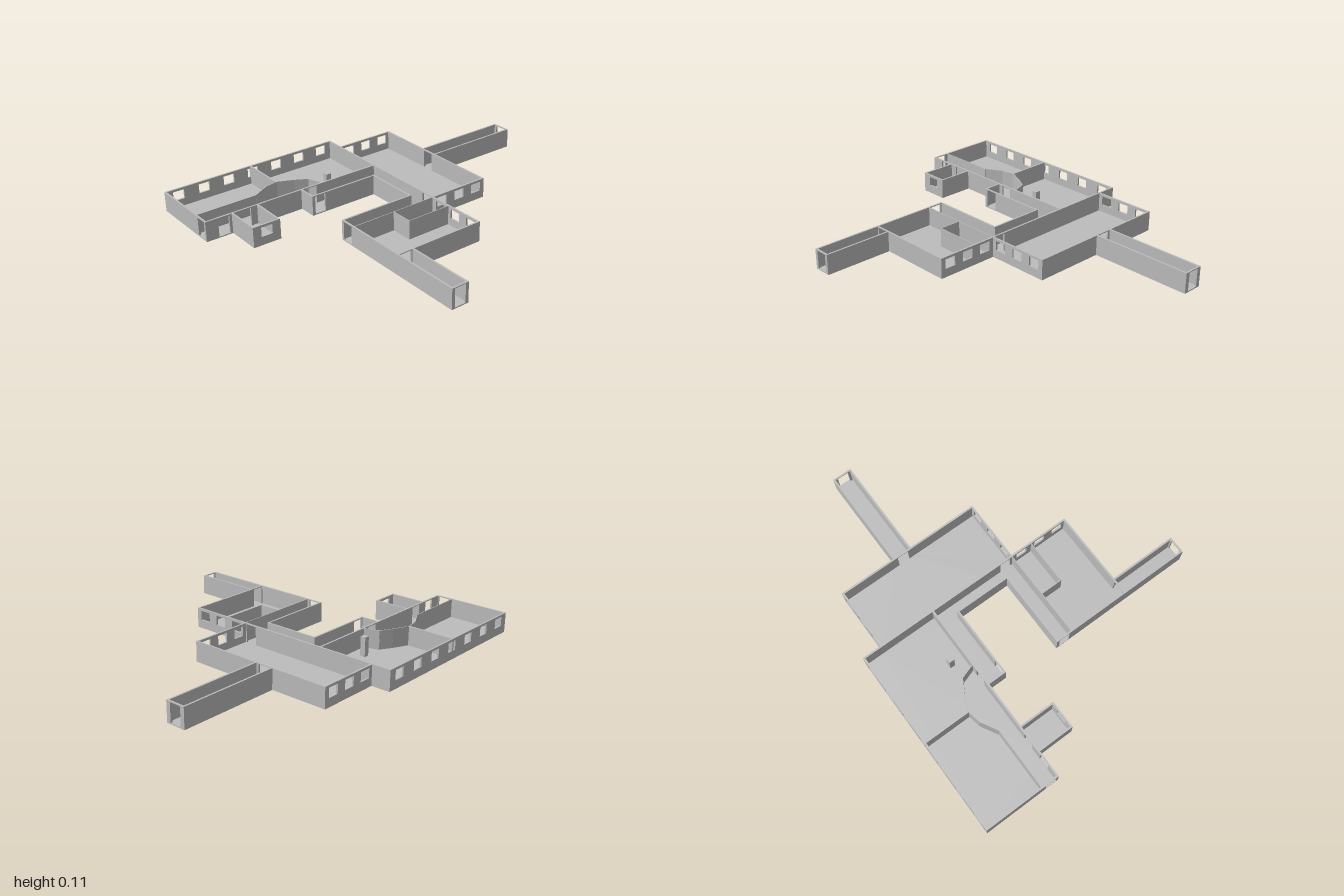
import * as THREE from 'three';

const H = 0.113, FLOOR = 0.006, T = 0.01, THIN = 0.004;

export function createModel() {
  const model = new THREE.Group();
  const grey = new THREE.MeshStandardMaterial({ color: 0xbcbcbc });
  grey.name = 'plasterGrey';

  const add = (name, geo) => {
    const mesh = new THREE.Mesh(geo, grey);
    mesh.name = name;
    model.add(mesh);
    return mesh;
  };

  // openings: [centre along wall, bottom, top]
  const door = c => [c, FLOOR, H - 0.005];
  const pane = c => [c, 0.047, 0.1];
  const panes = (from, to, n) =>
    Array.from({ length: n }, (_, i) => pane(from + (to - from) * (i + 0.5) / n));

  // upright panel pierced by openings
  const panel = (a, b, openings, t) => {
    const shape = new THREE.Shape([
      new THREE.Vector2(a, 0), new THREE.Vector2(b, 0),
      new THREE.Vector2(b, H), new THREE.Vector2(a, H)]);
    for (const [c, y0, y1] of openings) {
      const w = 0.0325;
      shape.holes.push(new THREE.Path([
        new THREE.Vector2(c - w, y0), new THREE.Vector2(c - w, y1),
        new THREE.Vector2(c + w, y1), new THREE.Vector2(c + w, y0)]));
    }
    return new THREE.ExtrudeGeometry(shape, { depth: t, bevelEnabled: false });
  };
  // wall running along x, centred on z
  const wallX = (name, z, x0, x1, openings = [], t = T) =>
    add(name, panel(x0, x1, openings, t).translate(0, 0, z - t / 2));
  // wall running along z, centred on x
  const wallZ = (name, x, z0, z1, openings = [], t = T) =>
    add(name, panel(z0, z1, openings, t).rotateY(-Math.PI / 2).translate(x + t / 2, 0, 0));

  // floor slab
  const outline = [
    [-0.415, -1], [-0.303, -1], [-0.303, -0.425], [0.102, -0.425], [0.102, -0.07],
    [0.455, -0.07], [0.455, 0.355], [0.842, 0.355], [0.842, 0.455], [0.003, 0.455],
    [0.003, 0.022], [-0.303, 0.022], [-0.303, 0.425], [-0.407, 0.425], [-0.407, 0.688],
    [-0.203, 0.688], [-0.203, 0.848], [-0.407, 0.848], [-0.407, 1], [-0.845, 1],
    [-0.845, -0.07], [-0.738, -0.07], [-0.738, -0.425], [-0.415, -0.425],
  ].map(([x, z]) => new THREE.Vector2(x, z));
  add('floor', new THREE.ExtrudeGeometry(new THREE.Shape(outline), { depth: FLOOR, bevelEnabled: false })
    .rotateX(Math.PI / 2).translate(0, FLOOR, 0));

  // north corridor
  wallZ('northCorridorWestWall', -0.41, -1, -0.425);
  wallZ('northCorridorEastWall', -0.308, -1, -0.425);
  wallX('northCorridorEndWall', -0.995, -0.415, -0.303, [door(-0.359)]);

  // main hall
  wallX('hallNorthWall', -0.42, -0.738, 0.102, [door(-0.359)]);
  wallZ('hallWestWall', -0.733, -0.425, -0.065, panes(-0.425, -0.065, 3));
  wallZ('hallEastWall', 0.097, -0.425, -0.065, panes(-0.425, -0.065, 3));
  wallX('hallSouthWall', -0.065, -0.845, 0.102, [door(0.053)]);

  // west room
  wallZ('westRoomWestWall', -0.84, -0.07, 1, panes(-0.07, 1, 7));
  wallX('westRoomSouthWall', 0.995, -0.845, -0.407, [door(-0.453)]);
  wallZ('westRoomEastWall', -0.412, -0.07, 1, [door(0.36), door(0.768), door(0.895)]);
  wallX('westRoomDivider', 0.475, -0.845, -0.573);
  add('pillar', new THREE.BoxGeometry(0.03, H, 0.03).translate(-0.49, H / 2, 0.2));

  // bent partition made of straight thin panels
  const bends = [[-0.412, 0.29], [-0.497, 0.318], [-0.535, 0.385], [-0.575, 0.472],
    [-0.56, 0.55], [-0.507, 0.645], [-0.507, 0.995]];
  for (let i = 0; i + 1 < bends.length; i++) {
    const [x0, z0] = bends[i], [x1, z1] = bends[i + 1];
    const part = add('bentPartition', new THREE.BoxGeometry(Math.hypot(x1 - x0, z1 - z0), H, THIN));
    part.position.set((x0 + x1) / 2, H / 2, (z0 + z1) / 2);
    part.rotation.y = -Math.atan2(z1 - z0, x1 - x0);
  }

  // annex
  wallX('annexNorthWall', 0.693, -0.412, -0.203);
  wallX('annexSouthWall', 0.843, -0.412, -0.203);
  wallZ('annexEastWall', -0.208, 0.688, 0.848, [pane(0.768)]);

  // inner corridor and its two arms
  wallX('innerCorridorSouthWall', 0.017, -0.308, 0.013);
  wallZ('westArmEastWall', -0.308, 0.012, 0.425, [door(0.375)]);
  wallX('westArmEndWall', 0.42, -0.412, -0.303);
  wallZ('eastArmWestWall', 0.008, 0.012, 0.455);
  wallX('eastArmEndWall', 0.45, 0.003, 0.102, [door(0.052)]);

  // east room
  wallX('eastRoomNorthWall', -0.065, 0.102, 0.455, panes(0.102, 0.455, 3));
  wallZ('eastRoomEastWall', 0.45, -0.07, 0.455, [door(0.405)]);
  wallX('eastRoomSouthWall', 0.45, 0.097, 0.842);
  wallZ('eastRoomWestWall', 0.099, -0.065, 0.45, [], THIN);
  wallZ('closetEastWall', 0.225, -0.065, 0.2, [], THIN);
  wallX('closetSouthWall', 0.198, 0.099, 0.227, [], THIN);

  // east corridor
  wallX('eastCorridorNorthWall', 0.36, 0.45, 0.842);
  wallZ('eastCorridorEndWall', 0.837, 0.355, 0.455, [door(0.405)]);

  return model;
}
